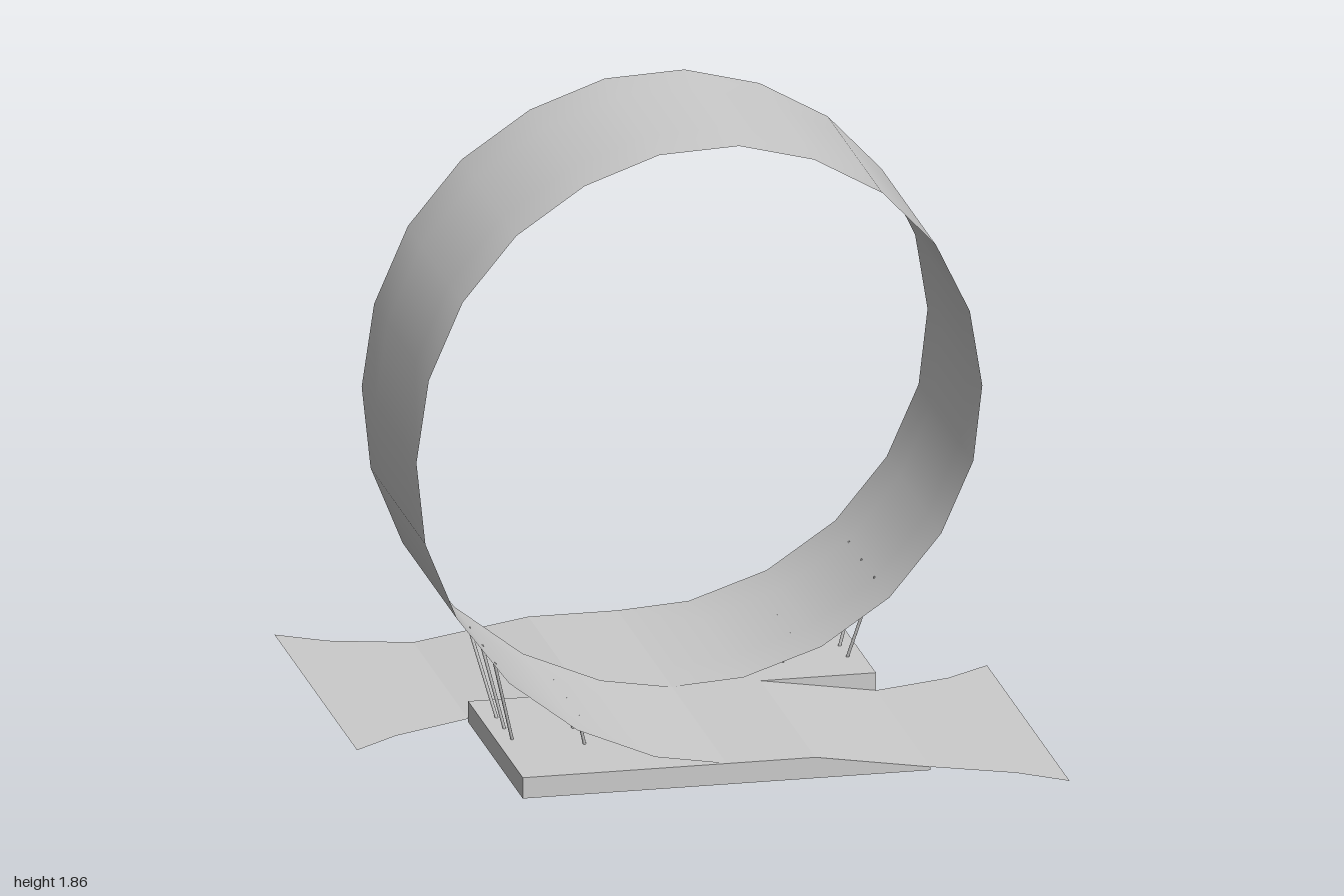
import * as THREE from 'three';
import { toCreasedNormals } from 'three/addons/utils/BufferGeometryUtils.js';

const material = new THREE.MeshStandardMaterial({ color: 0xcccccc, side: THREE.DoubleSide });

function add(parent, name, geometry) {
  const mesh = new THREE.Mesh(geometry, material);
  mesh.name = name;
  parent.add(mesh);
  return mesh;
}

// Sheet swept through rows of [x, y, zStart, zEnd], divided across its width
function sheet(rows, across) {
  const positions = [], index = [];
  rows.forEach(([x, y, z0, z1], i) => {
    for (let j = 0; j <= across; j++) {
      positions.push(x, y, z0 + (z1 - z0) * j / across);
      if (i && j) {
        const d = i * (across + 1) + j, c = d - 1, b = d - across - 1, a = b - 1;
        index.push(a, b, c, b, d, c);
      }
    }
  });
  const g = new THREE.BufferGeometry();
  g.setAttribute('position', new THREE.Float32BufferAttribute(positions, 3));
  g.setIndex(index);
  g.computeVertexNormals();
  return g;
}

function profile(points, z) {
  const shape = new THREE.Shape(points.map(([x, y]) => new THREE.Vector2(x, y)));
  return new THREE.ShapeGeometry(shape).translate(0, 0, z);
}

function post(parent, name, from, to) {
  const a = new THREE.Vector3(...from), b = new THREE.Vector3(...to);
  const dir = b.clone().sub(a);
  const mesh = add(parent, name, new THREE.CylinderGeometry(0.005, 0.005, dir.length(), 8));
  mesh.position.copy(a).add(b).multiplyScalar(0.5);
  mesh.quaternion.setFromUnitVectors(new THREE.Vector3(0, 1, 0), dir.normalize());
}

const TOP = 0.065, HALF = 0.62, DEPTH = 0.745;

// Half of the base: deck, ramp, flared exit, walls and the posts beneath the loop
function createHalf() {
  const half = new THREE.Group();
  half.name = 'baseHalf';

  const deck = sheet([
    [-HALF, TOP, 0, DEPTH],
    [0.27, TOP, 0, DEPTH],
    [HALF, 0.01, 0, DEPTH],
    [0.86, 0.003, -0.09, 0.835],
    [1, 0, -0.19, 0.935],
  ], 1);
  add(half, 'deckAndRamp', toCreasedNormals(deck, 0.02));

  add(half, 'sideWall', profile(
    [[-HALF, 0], [HALF, 0], [HALF, 0.01], [0.27, TOP], [-HALF, TOP]], DEPTH));
  add(half, 'rampCheek', profile([[0.27, TOP], [HALF, 0.01], [HALF, TOP]], 0));
  add(half, 'endWall', new THREE.PlaneGeometry(DEPTH, TOP)
    .rotateY(-Math.PI / 2).translate(-HALF, TOP / 2, DEPTH / 2));

  // Three tall outer posts and three short inner ones, splayed towards the top
  for (const k of [-1, 0, 1]) {
    post(half, 'tallPost', [-0.57, 0.06, 0.275 + k * 0.105], [-0.64, 0.33, 0.275 + k * 0.175]);
    post(half, 'shortPost', [-0.37, 0.06, 0.315 + k * 0.155], [-0.395, 0.16, 0.315 + k * 0.175]);
  }
  return half;
}

export function createModel() {
  const model = new THREE.Group();
  model.name = 'loopTrack';

  // Loop band: rises on +x, crosses the top, descends on -x while drifting forward
  const side = [[0, TOP], [0.21, 0.09], [0.44, 0.18], [0.64, 0.33], [0.79, 0.53], [0.88, 0.76],
    [0.9, 1.005], [0.855, 1.25], [0.745, 1.475], [0.575, 1.66], [0.36, 1.79], [0.125, 1.86]];
  const path = [...side, ...side.map(([x, y]) => [-x, y]).reverse()];
  const rows = path.map(([x, y], i) => {
    const z = DEPTH * (i / (path.length - 1) - 1);
    return [x, y, z, z + DEPTH];
  });
  // Reversed so the driving surface faces inward
  add(model, 'loopBand', sheet(rows.reverse(), 4));

  const front = createHalf();
  const back = createHalf();
  back.rotation.y = Math.PI;
  model.add(front, back);
  return model;
}
